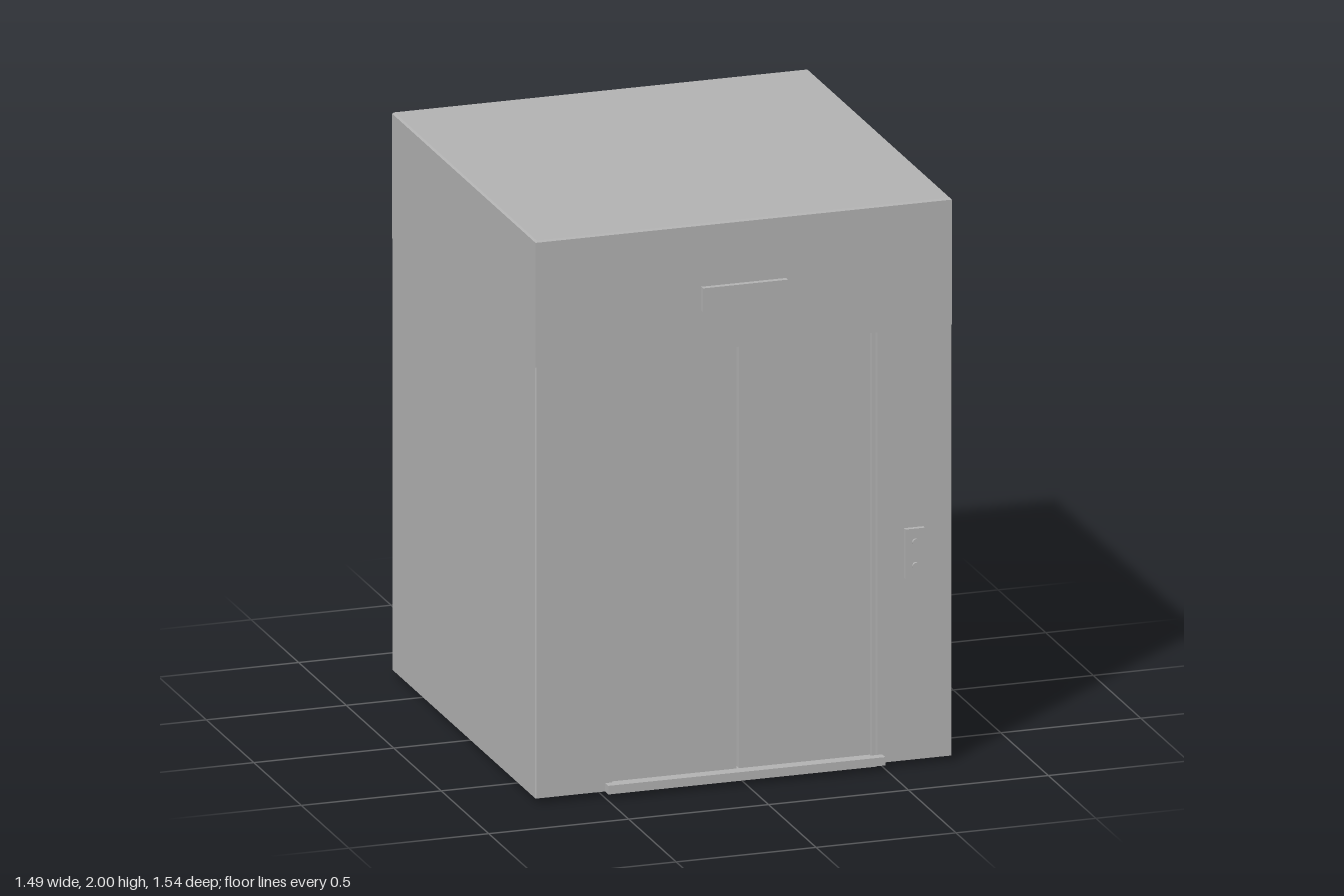
import * as THREE from 'three';

export function createModel() {
  const group = new THREE.Group();
  const grey = new THREE.MeshStandardMaterial({ color: 0xb3b3b3 });
  grey.name = 'satin grey';

  const add = (name, geometry) => {
    const mesh = new THREE.Mesh(geometry, grey);
    mesh.name = name;
    group.add(mesh);
    return mesh;
  };
  // box given by its limits on each axis
  const block = (name, x0, x1, y0, y1, z0, z1) =>
    add(name, new THREE.BoxGeometry(x1 - x0, y1 - y0, z1 - z0))
      .position.set((x0 + x1) / 2, (y0 + y1) / 2, (z0 + z1) / 2);

  const W = 0.744, BACK = -0.771, FRONT = 0.739;
  const BASE = 0.0185, LINTEL = 1.55, OPEN = 0.478, RECESS = 0.635;

  // lower cabin: floor plan with a doorway recess, extruded upward
  const c = 0.004;
  const plan = new THREE.Shape([
    [-W + c, -FRONT], [-OPEN, -FRONT], [-OPEN, -RECESS], [OPEN, -RECESS], [OPEN, -FRONT],
    [W - c, -FRONT], [W, -FRONT + c], [W, -BACK - c], [W - c, -BACK],
    [-W + c, -BACK], [-W, -BACK - c], [-W, -FRONT + c],
  ].map(([x, y]) => new THREE.Vector2(x, y)));
  const lower = new THREE.ExtrudeGeometry(plan, { depth: LINTEL - BASE, bevelEnabled: false });
  lower.rotateX(-Math.PI / 2).translate(0, BASE, 0);
  add('cabinLower', lower);

  // upper cabin: square lathe with a fine chamfer round the roof
  const r = Math.SQRT2;
  const profile = [[0, LINTEL], [r, LINTEL], [r, 1.994], [r * 0.992, 2], [0, 2]]
    .map(([x, y]) => new THREE.Vector2(x, y));
  const upper = new THREE.LatheGeometry(profile, 4, Math.PI / 4)
    .scale(W, 1, (FRONT - BACK) / 2)
    .translate(0, 0, (FRONT + BACK) / 2)
    .toNonIndexed();
  upper.computeVertexNormals();
  add('cabinUpper', upper);

  // sliding doors and side frame strips
  for (const [side, s] of [['left', 1], ['right', -1]]) {
    const span = (a, b) => (s > 0 ? [a, b] : [-b, -a]);
    block(side + 'Door', ...span(0.005, 0.474), 0.03, LINTEL, RECESS, 0.675);
    block(side + 'Jamb', ...span(0.464, OPEN), 0.02, LINTEL, 0.7, 0.72);
  }

  // threshold, projecting sill and the guide rail beneath
  block('threshold', -OPEN, OPEN, BASE, 0.03, RECESS, FRONT);
  block('sill', -0.495, 0.495, BASE, 0.048, FRONT, 0.771);
  block('guideRail', -OPEN, OPEN, 0, 0.022, 0.7, 0.72);

  // floor indicator above the doors
  block('floorIndicator', -0.152, 0.152, 1.693, 1.777, FRONT, 0.759);

  // call panel with two round buttons
  block('callPanel', 0.573, 0.642, 0.667, 0.844, FRONT, 0.756);
  for (const y of [0.713, 0.797]) {
    const button = new THREE.CylinderGeometry(0.012, 0.012, 0.01, 24).rotateX(Math.PI / 2);
    add('callButton', button).position.set(0.608, y, 0.759);
  }

  return group;
}
